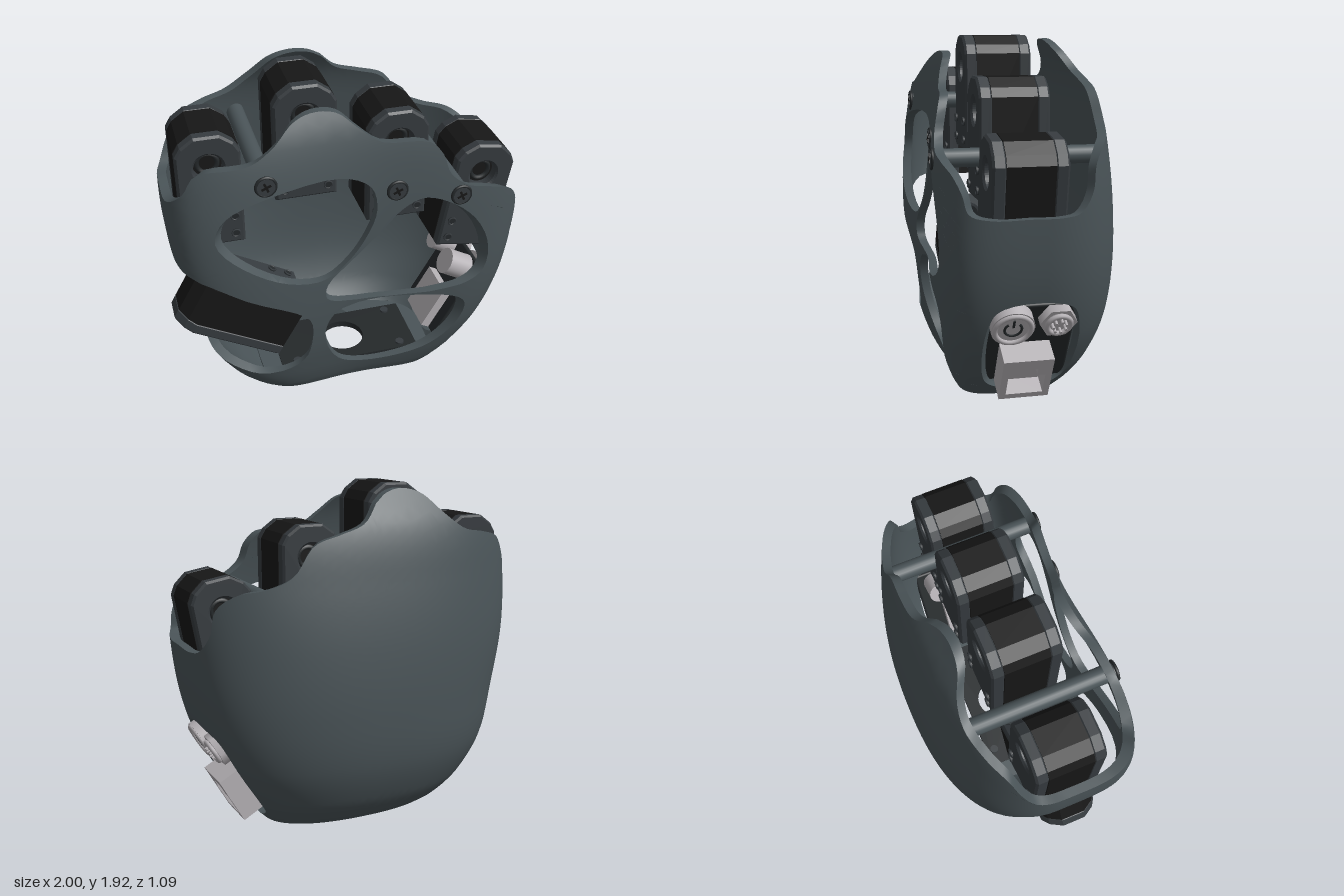
import * as THREE from 'three';
import { toCreasedNormals } from 'three/addons/utils/BufferGeometryUtils.js';
import { RoundedBoxGeometry } from 'three/addons/geometries/RoundedBoxGeometry.js';

const mat = color => new THREE.MeshStandardMaterial({ color });
const SHELL = mat(0x4a5458), PLATE = mat(0x363b3f), BLACK = mat(0x171717), METAL = mat(0xb4b0b4), DARK = mat(0x24282a);

function add(parent, name, geo, material, x = 0, y = 0, z = 0) {
  const m = new THREE.Mesh(geo, material);
  m.name = name;
  m.position.set(x, y, z);
  parent.add(m);
  return m;
}

// Palm sections: height, left x, right x, front depth, back depth
const ROWS = [
  [0, -0.52, 0.55, 0.40, 0.27], [0.06, -0.60, 0.61, 0.43, 0.35], [0.18, -0.72, 0.71, 0.47, 0.44],
  [0.4, -0.85, 0.84, 0.52, 0.52], [0.7, -0.92, 0.94, 0.55, 0.545], [1.05, -0.99, 0.99, 0.55, 0.53],
  [1.4, -1, 1, 0.52, 0.48], [1.7, -0.97, 0.97, 0.45, 0.41], [1.92, -0.93, 0.93, 0.33, 0.28],
];
const slope = (i, k) => {
  const a = ROWS[Math.max(0, i - 1)], b = ROWS[Math.min(ROWS.length - 1, i + 1)];
  return (b[k] - a[k]) / (b[0] - a[0]);
};
function section(y) {
  let i = 0;
  while (i < ROWS.length - 2 && y > ROWS[i + 1][0]) i++;
  const h = ROWS[i + 1][0] - ROWS[i][0], t = Math.min(1, Math.max(0, (y - ROWS[i][0]) / h));
  const v = k => (2 * t ** 3 - 3 * t * t + 1) * ROWS[i][k] + (t ** 3 - 2 * t * t + t) * h * slope(i, k)
    + (3 * t * t - 2 * t ** 3) * ROWS[i + 1][k] + (t ** 3 - t * t) * h * slope(i + 1, k);
  const l = v(1), r = v(2);
  return { cx: (l + r) / 2, a: (r - l) / 2, front: v(3), back: v(4) };
}
const power = back => (back ? 2.3 : 5);

// Point on the palm wall: s runs round the section (0 = front, +-PI = back), inset goes inwards
function wallPoint(s, y, inset = 0) {
  const q = section(y), sn = Math.sin(s), cs = Math.cos(s), n = power(cs < 0);
  const r = (Math.abs(sn) ** n + Math.abs(cs) ** n) ** (-1 / n);
  const x = q.cx + (q.a - inset) * r * sn;
  let z = ((cs < 0 ? q.back : q.front) - inset) * r * cs;
  if (cs > 0) z *= 1 - 0.12 * Math.exp(-(((x - 0.05) / 0.4) ** 2));
  return new THREE.Vector3(x, y, z);
}
function wallNormal(s, y) {
  const e = 0.004;
  const ds = wallPoint(s + e, y).sub(wallPoint(s - e, y)), dy = wallPoint(s, y + e).sub(wallPoint(s, y - e));
  return ds.cross(dy).normalize();
}
const other = (u, n) => (1 - Math.min(0.9999, Math.abs(u)) ** n) ** (1 / n);
// Place an outline point by x on the front or back, or by z on a side
const onFace = back => ([x, y]) => {
  const q = section(y), u = (x - q.cx) / q.a, w = other(u, power(back));
  return new THREE.Vector3(Math.atan2(u, back ? -w : w), y, 0);
};
const front = onFace(false), back = onFace(true);
const side = sign => ([z, y]) => {
  const q = section(y), v = z / (z < 0 ? q.back : q.front);
  return new THREE.Vector3(Math.atan2(sign * other(v, power(z < 0)), v), y, 0);
};
const right = side(1), left = side(-1);
const spline = (pts, closed, n) => new THREE.CatmullRomCurve3(pts, closed, 'centripetal').getPoints(n)
  .map(p => new THREE.Vector2(p.x, p.y));

// Halve every edge longer than max, so a flat sheet can be bent smoothly
function subdivide(geo, max) {
  const p = geo.attributes.position, out = [];
  const d = (a, b) => Math.hypot(a.x - b.x, a.y - b.y);
  const split = (a, b, c) => {
    const ab = d(a, b), bc = d(b, c), ca = d(c, a), m = Math.max(ab, bc, ca);
    if (m <= max) { out.push(a, b, c); return; }
    if (m === bc) [a, b, c] = [b, c, a];
    else if (m === ca) [a, b, c] = [c, a, b];
    const mid = a.clone().add(b).multiplyScalar(0.5);
    split(a, mid, c);
    split(mid, b, c);
  };
  const v = i => new THREE.Vector3().fromBufferAttribute(p, i);
  for (let i = 0; i < p.count; i += 3) split(v(i), v(i + 1), v(i + 2));
  return out;
}

function shellGeometry() {
  // Scalloped rim from the back seam, round the right side, front and left side
  const rim = [
    new THREE.Vector3(Math.PI, 1.83, 0),
    ...[[0.1, 1.73], [0.25, 1.68], [0.4, 1.63], [0.52, 1.48], [0.65, 1.42], [0.8, 1.39], [0.9, 1.3]].map(back),
    ...[[-0.24, 1.18], [-0.17, 1.08], [-0.08, 1.06], [0.1, 1.06], [0.3, 1.06], [0.4, 1.09]].map(right),
    ...[[0.93, 1.18], [0.87, 1.27], [0.75, 1.32], [0.6, 1.36], [0.5, 1.44], [0.46, 1.55], [0.39, 1.62], [0.14, 1.64],
      [0.01, 1.73], [-0.09, 1.81], [-0.22, 1.83], [-0.33, 1.8], [-0.45, 1.7], [-0.58, 1.63], [-0.84, 1.6], [-0.92, 1.48]].map(front),
    ...[[0.26, 1.38], [0, 1.37], [-0.15, 1.38]].map(left),
    ...[[-0.92, 1.48], [-0.85, 1.59], [-0.7, 1.64], [-0.55, 1.67], [-0.42, 1.76], [-0.3, 1.87], [-0.18, 1.9], [-0.08, 1.88]].map(back),
    new THREE.Vector3(-Math.PI, 1.83, 0),
  ];
  const shape = new THREE.Shape([new THREE.Vector2(-Math.PI, 0), new THREE.Vector2(Math.PI, 0), ...spline(rim, false, 160)]);
  const holes = [
    [[-0.78, 1.22], [-0.72, 1.36], [-0.5, 1.45], [-0.1, 1.48], [0.07, 1.4], [0.1, 1.26], [0.05, 1.12], [-0.05, 0.98],
      [-0.2, 0.88], [-0.4, 0.91], [-0.65, 1.06]].map(front),
    [[-0.18, 0.84], [-0.19, 0.75], [-0.1, 0.7], [0.6, 0.7], [0.73, 0.77], [0.75, 0.94], [0.65, 1.15], [0.5, 1.27],
      [0.36, 1.31], [0.24, 1.25], [0.12, 1.12], [-0.04, 0.97]].map(front),
    [[-0.18, 0.55], [-0.1, 0.64], [0.5, 0.64], [0.64, 0.55], [0.61, 0.38], [0.45, 0.21], [0.15, 0.13], [-0.08, 0.2],
      [-0.18, 0.38]].map(front),
    // thumb opening, running round the left side
    [...[[-0.72, 0.3], [-0.58, 0.23], [-0.4, 0.24], [-0.3, 0.32], [-0.27, 0.46], [-0.28, 0.6], [-0.35, 0.68], [-0.6, 0.82],
      [-0.85, 0.96]].map(front), ...[[0.15, 1.02], [-0.08, 0.98], [-0.18, 0.78], [-0.14, 0.52], [0.04, 0.4], [0.28, 0.36]].map(left)],
    // connector opening on the right side
    [[0.28, 0.14], [0.28, 0.52], [0.21, 0.59], [-0.12, 0.59], [-0.19, 0.52], [-0.19, 0.14], [-0.12, 0.07], [0.21, 0.07]].map(right),
  ];
  shape.holes = holes.map(h => new THREE.Path(spline(h, true, 44).slice(0, -1)));
  const flat = subdivide(new THREE.ExtrudeGeometry(shape, { depth: 1, bevelEnabled: false }), 0.09);
  const bent = flat.map(p => wallPoint(p.x, p.y, (1 - p.z) * 0.05));
  const geo = toCreasedNormals(new THREE.BufferGeometry().setFromPoints(bent), 0.6);
  // inner and outer faces take the true normal of the wall
  for (let i = 0; i < flat.length; i += 3) {
    if (flat[i].z !== flat[i + 1].z || flat[i].z !== flat[i + 2].z) continue;
    for (let k = i; k < i + 3; k++) {
      const n = wallNormal(flat[k].x, flat[k].y).multiplyScalar(flat[k].z > 0.5 ? 1 : -1);
      geo.attributes.normal.setXYZ(k, n.x, n.y, n.z);
    }
  }
  return geo;
}

// Flat plate lying in x and z, from y = 0 up to its thickness
function flatPlate(shape, thick) {
  return new THREE.ExtrudeGeometry(shape, { depth: thick, bevelEnabled: false, curveSegments: 32 })
    .rotateX(Math.PI / 2).translate(0, thick, 0);
}
const rect = (T, x0, x1, y0, y1) => new T([[x0, y0], [x1, y0], [x1, y1], [x0, y1]].map(p => new THREE.Vector2(...p)));
const disc = (r, h) => new THREE.CylinderGeometry(r, r, h, 20).rotateX(Math.PI / 2);

// Actuator: black body between two grey cheeks with a shaft socket near the tip
function actuator(name) {
  const g = new THREE.Group();
  g.name = name;
  const outline = (w, h, c) => new THREE.Shape([[-w, -h], [w, -h], [w, h - c], [w - c * 0.3, h - c * 0.5], [w - c, h],
    [c - w, h], [c * 0.3 - w, h - c * 0.5], [-w, h - c]].map(p => new THREE.Vector2(...p)));
  add(g, 'actuatorBody', new THREE.ExtrudeGeometry(outline(0.172, 0.333, 0.1), { depth: 0.25, bevelEnabled: false }), BLACK, 0, 0, -0.125);
  const cheek = outline(0.16, 0.322, 0.095);
  cheek.holes.push(new THREE.Path().absarc(0, 0.15, 0.09, 0, Math.PI * 2, true));
  const cheekGeo = new THREE.ExtrudeGeometry(cheek, { depth: 0.05, bevelThickness: 0.012, bevelSize: 0.012, bevelSegments: 1, curveSegments: 20 });
  for (const s of [-1, 1]) {
    add(g, 'cheekPlate', cheekGeo, PLATE, 0, 0, s * 0.157 - 0.025);
    add(g, 'shaftSocket', new THREE.TorusGeometry(0.055, 0.014, 6, 24), DARK, 0, 0.15, s * 0.13);
    for (const x of [-0.12, 0.12]) for (const y of [-0.27, -0.16]) {
      add(g, 'cheekScrew', disc(0.024, 0.012), DARK, x, y, s * 0.196);
      add(g, 'screwRing', new THREE.TorusGeometry(0.022, 0.005, 5, 14), PLATE, x, y, s * 0.202);
    }
  }
  return g;
}

export function createModel() {
  const model = new THREE.Group();
  model.name = 'roboticPalm';
  add(model, 'palmShell', shellGeometry(), SHELL);

  // Floor with a recessed wrist plate
  const ring = [];
  for (let i = 0; i < 96; i++) {
    const p = wallPoint(i / 96 * Math.PI * 2 - Math.PI, 0, 0.004);
    ring.push(new THREE.Vector2(p.x, p.z));
  }
  const floor = new THREE.Shape(ring);
  floor.holes.push(rect(THREE.Path, -0.36, 0.42, -0.2, 0.31));
  add(model, 'palmFloor', flatPlate(floor, 0.05), SHELL);
  const wrist = rect(THREE.Shape, -0.4, 0.46, -0.15, 0.265);
  wrist.holes.push(new THREE.Path().absarc(0.03, 0.06, 0.13, 0, Math.PI * 2, true));
  add(model, 'wristPlate', flatPlate(wrist, 0.04), DARK, 0, 0.015, 0);
  add(model, 'wristRing', new THREE.TorusGeometry(0.15, 0.02, 8, 40).rotateX(Math.PI / 2), PLATE, 0.03, 0.03, 0.06);
  for (const x of [-0.3, 0.36]) for (const z of [-0.1, 0.22])
    add(model, 'wristScrew', new THREE.CylinderGeometry(0.026, 0.026, 0.06, 20), PLATE, x, 0.037, z);

  // Finger actuators and the tilted thumb actuator
  [[-0.75, 1.375, 0.055, 0], [-0.225, 1.585, 0.035, 0], [0.29, 1.375, 0.055, 0], [0.765, 1.115, 0.09, -0.17]].forEach(([x, y, z, tilt]) => {
    const f = actuator('fingerActuator');
    f.position.set(x, y, z);
    f.rotation.z = tilt;
    model.add(f);
  });
  const thumb = actuator('thumbActuator');
  thumb.setRotationFromMatrix(new THREE.Matrix4().makeBasis(new THREE.Vector3(0, 0, -1),
    new THREE.Vector3(-0.87, 0.493, 0), new THREE.Vector3(0.493, 0.87, 0)));
  thumb.position.set(-0.63, 0.535, 0.12);
  model.add(thumb);

  // Cross rods joining the walls, and the front screws
  for (const [x, y, rod] of [[-0.5, 1.52, true], [0.21, 1.37, false], [0.56, 1.31, true]]) {
    const z = wallPoint(front([x, y]).x, y).z, zb = wallPoint(back([x, y]).x, y).z;
    if (rod) add(model, 'crossRod', disc(0.05, z - zb - 0.06), SHELL, x, y, (z + zb) / 2);
    add(model, 'screwHead', disc(0.048, 0.03), PLATE, x, y, z);
    add(model, 'screwRim', new THREE.TorusGeometry(0.052, 0.009, 8, 28), DARK, x, y, z + 0.005);
    for (const a of [0, Math.PI / 2])
      add(model, 'screwSlot', new THREE.BoxGeometry(0.055, 0.012, 0.006), BLACK, x, y, z + 0.016).rotation.z = a + 0.4;
  }

  // Connector panel on the right side: button, round plug and cable socket
  const panel = new THREE.Group();
  panel.name = 'connectorPanel';
  panel.position.set(0.72, 0.27, 0);
  panel.rotation.z = -0.51;
  model.add(panel);
  const knob = (r, h, n = 32) => new THREE.CylinderGeometry(r, r, h, n).rotateZ(Math.PI / 2);
  const hoop = (r, t) => new THREE.TorusGeometry(r, t, 8, 36).rotateY(Math.PI / 2);
  add(panel, 'panelPlate', new RoundedBoxGeometry(0.03, 0.56, 0.47, 3, 0.014), DARK, -0.05, 0.06, 0.045);
  add(panel, 'buttonBase', knob(0.115, 0.07), METAL, 0, 0.25, 0.16);
  add(panel, 'buttonRim', hoop(0.095, 0.014), METAL, 0.037, 0.25, 0.16);
  add(panel, 'buttonRing', new THREE.TorusGeometry(0.045, 0.007, 6, 28, 5).rotateZ(2.2).rotateY(Math.PI / 2), DARK, 0.036, 0.25, 0.16);
  add(panel, 'buttonMark', new THREE.BoxGeometry(0.008, 0.05, 0.012), DARK, 0.036, 0.29, 0.16);
  add(panel, 'buttonBarrel', knob(0.08, 0.2), METAL, -0.12, 0.25, 0.16);
  add(panel, 'plugNut', knob(0.1, 0.05, 6), METAL, 0, 0.26, -0.08);
  add(panel, 'plugSleeve', hoop(0.062, 0.014), METAL, 0.035, 0.26, -0.08);
  add(panel, 'plugBarrel', knob(0.065, 0.22), METAL, -0.1, 0.26, -0.08);
  for (let i = 0; i < 7; i++)
    add(panel, 'plugPin', knob(0.008, 0.05, 8), METAL, 0.035, 0.26 + 0.036 * Math.sin(i * 0.9), -0.08 + 0.036 * Math.cos(i * 0.9));
  const socket = rect(THREE.Shape, -0.135, 0.135, -0.145, 0.145);
  socket.holes.push(new THREE.Path([[-0.1, -0.11], [-0.1, 0.03], [-0.055, 0.03], [-0.055, 0.08], [0.055, 0.08], [0.055, 0.03],
    [0.1, 0.03], [0.1, -0.11]].map(p => new THREE.Vector2(...p))));
  add(panel, 'cableSocket', new THREE.ExtrudeGeometry(socket, { depth: 0.14, bevelEnabled: false }).rotateY(Math.PI / 2), METAL, -0.04, -0.075, 0.065);
  add(panel, 'socketBack', new THREE.BoxGeometry(0.12, 0.28, 0.26), METAL, -0.06, -0.075, 0.065);
  return model;
}
